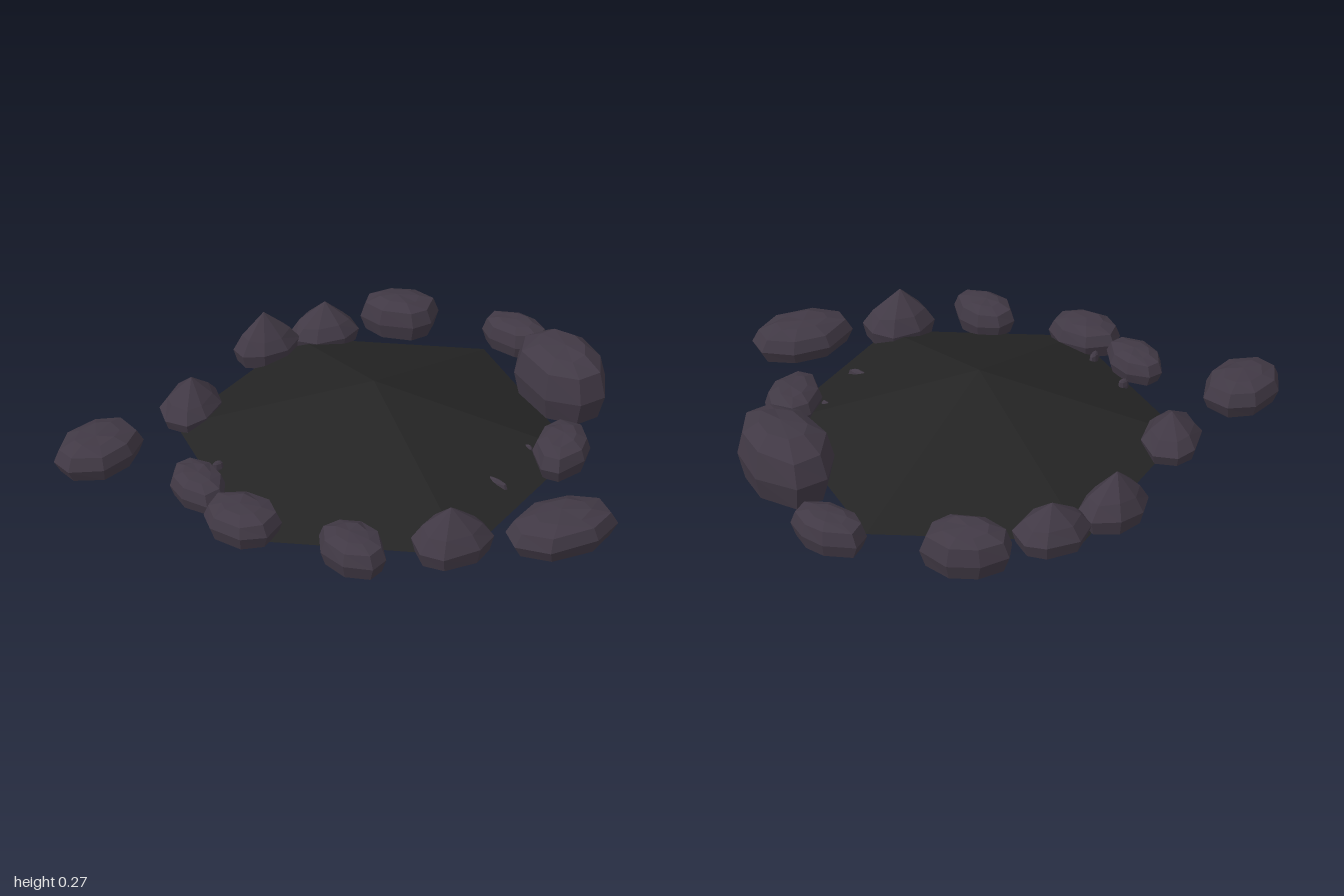
import * as THREE from 'three';

const rockMat = new THREE.MeshStandardMaterial({ color: 0x413945 });
rockMat.name = 'dark stone';
const ashMat = new THREE.MeshStandardMaterial({ color: 0x242424, side: THREE.DoubleSide });
ashMat.name = 'ash black';

// Small seeded generator for uneven stones
function seeded(seed) {
  let s = seed * 7919 + 13;
  return () => ((s = (s * 16807) % 2147483647) / 2147483647);
}

function facet(geometry) {
  const flat = geometry.index ? geometry.toNonIndexed() : geometry;
  flat.computeVertexNormals();
  return flat;
}

// Ring profiles as [height, width], both relative to the stone; the last entry is the tip
const FLAT = { rings: [[0, 0.87], [0.42, 1], [0.8, 0.86], [0.95, 0.5]], tip: 1 };
const PEAKED = { rings: [[0, 0.9], [0.28, 1], [0.55, 0.72]], tip: 1 };

// Faceted stone with a flat base, built from eight-sided rings
function stoneGeometry(a, b, h, profile, seed) {
  const SIDES = 8;
  const rand = seeded(seed);
  const outline = [];
  for (let i = 0; i < SIDES; i++) {
    const t = ((i + 0.5) / SIDES) * Math.PI * 2 + (rand() - 0.5) * 0.22;
    const r = 1.08 + (rand() - 0.5) * 0.09;
    outline.push([Math.cos(t) * a * r, Math.sin(t) * b * r]);
  }
  const pos = [];
  for (const [y, w] of profile.rings) {
    for (const [x, z] of outline) {
      const lift = y === 0 ? 0 : (rand() - 0.5) * 0.07 * h;
      pos.push(x * w, Math.min(y * h + lift, h), z * w);
    }
  }
  const last = (profile.rings.length - 1) * SIDES;
  const tip = last + SIDES;
  pos.push((rand() - 0.5) * 0.2 * a, profile.tip * h, (rand() - 0.5) * 0.2 * b, 0, 0, 0);

  const index = [];
  for (let i = 0; i < SIDES; i++) {
    const j = (i + 1) % SIDES;
    for (let r = 0; r < last; r += SIDES) {
      index.push(r + i, r + SIDES + i, r + SIDES + j, r + i, r + SIDES + j, r + j);
    }
    index.push(tip, last + j, last + i);
    index.push(tip + 1, i, j);
  }
  const geometry = new THREE.BufferGeometry();
  geometry.setAttribute('position', new THREE.Float32BufferAttribute(pos, 3));
  geometry.setIndex(index);
  return facet(geometry);
}

export function createModel() {
  const group = new THREE.Group();
  group.name = 'stoneRing';

  // Open six-sided ash mound
  const mound = new THREE.Mesh(facet(new THREE.ConeGeometry(0.785, 0.27, 6, 1, true)), ashMat);
  mound.name = 'ashMound';
  mound.scale.z = 0.975;
  mound.position.set(-0.1, 0.135, 0.03);
  group.add(mound);

  // Stones: name, x, z, half length, half width, heading in degrees, height, profile
  const stones = [
    ['backStone', -0.01, -0.835, 0.14, 0.09, 2, 0.13, FLAT],
    ['largeBoulder', 0.34, -0.62, 0.215, 0.155, 25, 0.26, FLAT],
    ['backLeftStone', 0.56, -0.265, 0.14, 0.1, 75, 0.13, FLAT],
    ['outerLeftStone', 0.81, 0.13, 0.2, 0.125, -56, 0.13, FLAT],
    ['frontLeftPeak', 0.525, 0.42, 0.14, 0.11, -55, 0.21, PEAKED],
    ['frontLeftStone', 0.27, 0.665, 0.135, 0.1, 8, 0.13, FLAT],
    ['frontStone', -0.155, 0.765, 0.14, 0.11, -5, 0.125, FLAT],
    ['frontRightStone', -0.42, 0.7, 0.13, 0.088, 20, 0.11, FLAT],
    ['outerRightStone', -0.865, 0.755, 0.17, 0.128, 100, 0.13, FLAT],
    ['rightFrontPeak', -0.78, 0.32, 0.14, 0.108, 75, 0.17, PEAKED],
    ['rightBackPeak', -0.8, -0.175, 0.135, 0.095, -70, 0.21, PEAKED],
    ['backRightPeak', -0.68, -0.41, 0.14, 0.1, -55, 0.18, PEAKED],
    ['backRightStone', -0.48, -0.67, 0.152, 0.112, -25, 0.16, FLAT],
    // Chips just breaking through the ash
    ['ashChip', 0.46, 0.035, 0.05, 0.013, 0, 0.06, FLAT],
    ['ashChip', 0.45, -0.21, 0.02, 0.01, 0, 0.062, FLAT],
    ['ashChip', -0.45, 0.55, 0.022, 0.012, -60, 0.055, FLAT],
    ['ashChip', -0.26, 0.655, 0.028, 0.014, 90, 0.055, FLAT],
  ];
  stones.forEach(([name, x, z, a, b, heading, h, profile], i) => {
    const stone = new THREE.Mesh(stoneGeometry(a, b, h, profile, i + 1), rockMat);
    stone.name = name;
    stone.position.set(x, 0, z);
    stone.rotation.y = -THREE.MathUtils.degToRad(heading);
    group.add(stone);
  });

  return group;
}
